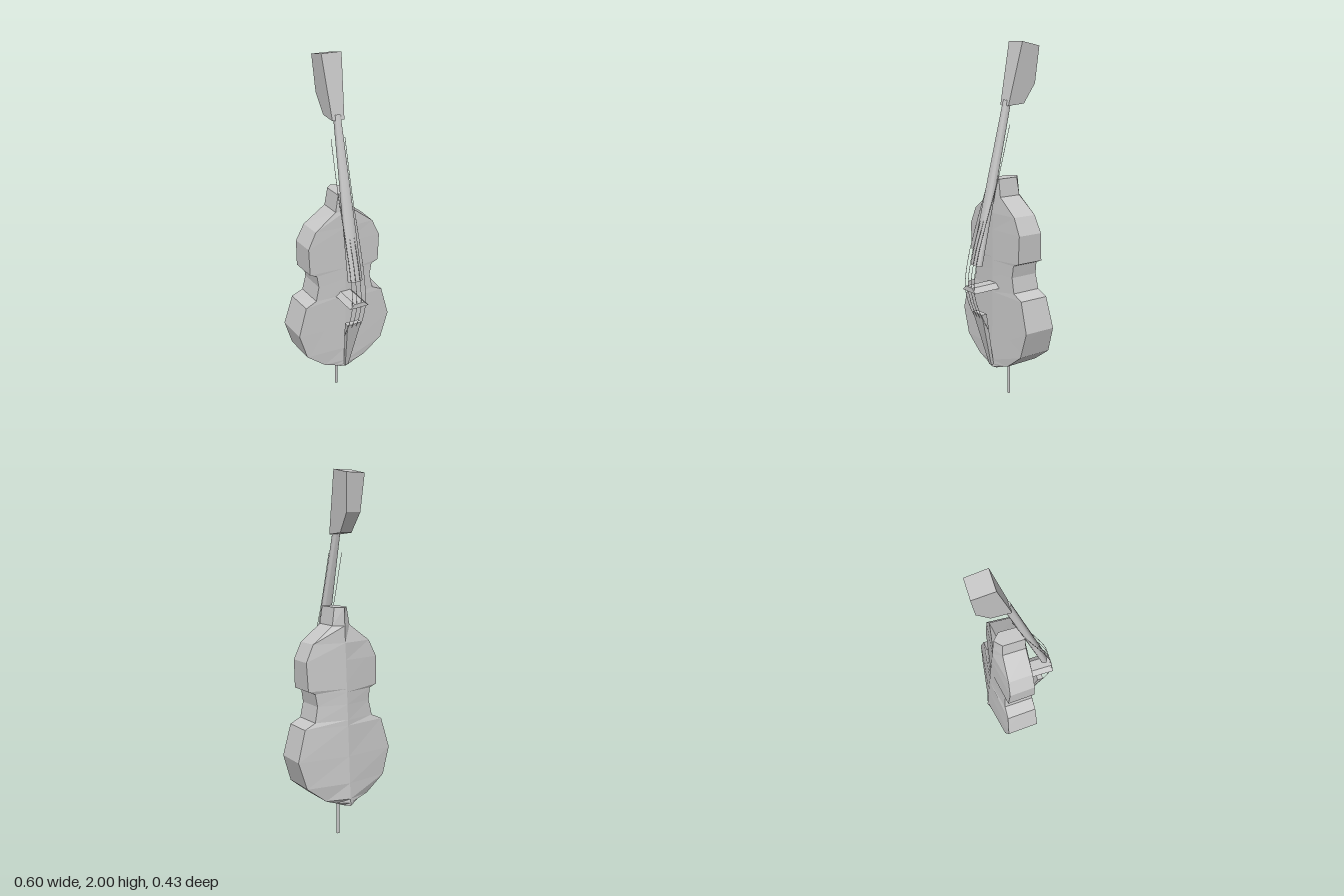
import * as THREE from 'three';
import { toCreasedNormals } from 'three/addons/utils/BufferGeometryUtils.js';

// Skin a stack of rings (each counter-clockwise seen from above, listed bottom to top) and cap both ends
function loft(rings, crease = 0.02) {
  const n = rings[0].length, index = [];
  for (let i = 0; i < rings.length - 1; i++) {
    for (let j = 0; j < n; j++) {
      const a = i * n + j, b = i * n + (j + 1) % n;
      index.push(a, b, b + n, a, b + n, a + n);
    }
  }
  const top = (rings.length - 1) * n;
  for (let j = 1; j < n - 1; j++) {
    index.push(0, j + 1, j, top, top + j, top + j + 1);
  }
  const geometry = new THREE.BufferGeometry();
  geometry.setAttribute('position', new THREE.Float32BufferAttribute(rings.flat(2), 3));
  geometry.setIndex(index);
  return toCreasedNormals(geometry, crease);
}

export function createModel() {
  const group = new THREE.Group();
  const grey = new THREE.MeshStandardMaterial({ color: 0xc8c8c8 });
  grey.name = 'plain grey';
  const add = (name, geometry) => {
    const mesh = new THREE.Mesh(geometry, grey);
    mesh.name = name;
    group.add(mesh);
    return mesh;
  };

  // Body: half width at each height, with a ridged back and a slightly arched front
  const outline = [
    [0.03, 0.198], [0.07, 0.215], [0.135, 0.238], [0.25, 0.325], [0.298, 0.475],
    [0.25, 0.645], [0.185, 0.675], [0.167, 0.76], [0.178, 0.828], [0.22, 0.845],
    [0.226, 1.0], [0.18, 1.093], [0.055, 1.185], [0.04, 1.282],
  ];
  add('body', loft(outline.map(([w, y]) => {
    const t = (y - 0.198) / 1.084;
    const front = 0.062 - 0.01 * t, back = -0.187 + 0.07 * t;
    const wf = w * 0.965;
    return [
      [-wf, y, front - 0.01], [0, y, front], [wf, y, front - 0.01],
      [w, y, back + 0.037], [0, y, back], [-w, y, back + 0.037],
    ];
  })));

  // Neck with fingerboard: a tapering oval bar leaning backwards
  const oval = (y, z, tilt, rx, rz) => Array.from({ length: 16 }, (_, i) => {
    const a = i / 16 * Math.PI * 2;
    const c = Math.cos(a), s = Math.sin(a);
    const dz = rz * Math.sign(c) * Math.abs(c) ** 0.8;
    return [rx * Math.sign(s) * Math.abs(s) ** 0.8, y - dz * tilt, z + dz];
  });
  add('neck', loft([oval(0.818, 0.165, 0, 0.043, 0.021), oval(1.69, -0.043, -0.4, 0.018, 0.021)], 0.7));

  // Head: side profile widened towards the top
  const profile = [[-0.025, 1.667], [-0.13, 1.675], [-0.2, 1.78], [-0.217, 1.978], [-0.1, 2.0]];
  const headShape = new THREE.Shape(profile.map(([z, y]) => new THREE.Vector2(-z, y)));
  const head = new THREE.ExtrudeGeometry(headShape, { depth: 2, bevelEnabled: false });
  head.translate(0, 0, -1).rotateY(Math.PI / 2);
  const p = head.attributes.position;
  for (let i = 0; i < p.count; i++) {
    p.setX(i, p.getX(i) * (0.035 + 0.023 * (p.getY(i) - 1.667) / 0.333));
  }
  head.computeVertexNormals();
  add('head', head);

  // Bridge: trapezoid standing out from the front
  const bridgeShape = new THREE.Shape([
    new THREE.Vector2(-0.058, 0.676), new THREE.Vector2(0.058, 0.676),
    new THREE.Vector2(0.03, 0.702), new THREE.Vector2(-0.03, 0.702),
  ]);
  const bridge = new THREE.ExtrudeGeometry(bridgeShape, { depth: 0.165, bevelEnabled: false });
  add('bridge', bridge.translate(0, 0, 0.052));

  // Tailpiece: wedge widening upwards
  const slab = (y, w, back, front) => [[-w, y, front], [w, y, front], [w, y, back], [-w, y, back]];
  add('tailpiece', loft([slab(0.213, 0.01, 0.058, 0.075), slab(0.54, 0.043, 0.13, 0.163)]));

  // Strings: bent over the bridge and running up beside the neck
  const path = [
    [0.45, 0.12], [0.56, 0.178], [0.69, 0.213], [0.85, 0.192],
    [1.05, 0.13], [1.28, 0.05], [1.57, -0.03],
  ];
  for (const x of [-0.041, -0.0137, 0.0137, 0.041]) {
    const curve = new THREE.CatmullRomCurve3(path.map(([y, z]) => new THREE.Vector3(x, y, z)));
    add('string', new THREE.TubeGeometry(curve, 20, 0.0015, 5));
  }

  // Endpin the instrument stands on
  add('endpin', new THREE.CylinderGeometry(0.008, 0.008, 0.22, 10)).position.set(0, 0.11, -0.06);

  return group;
}
